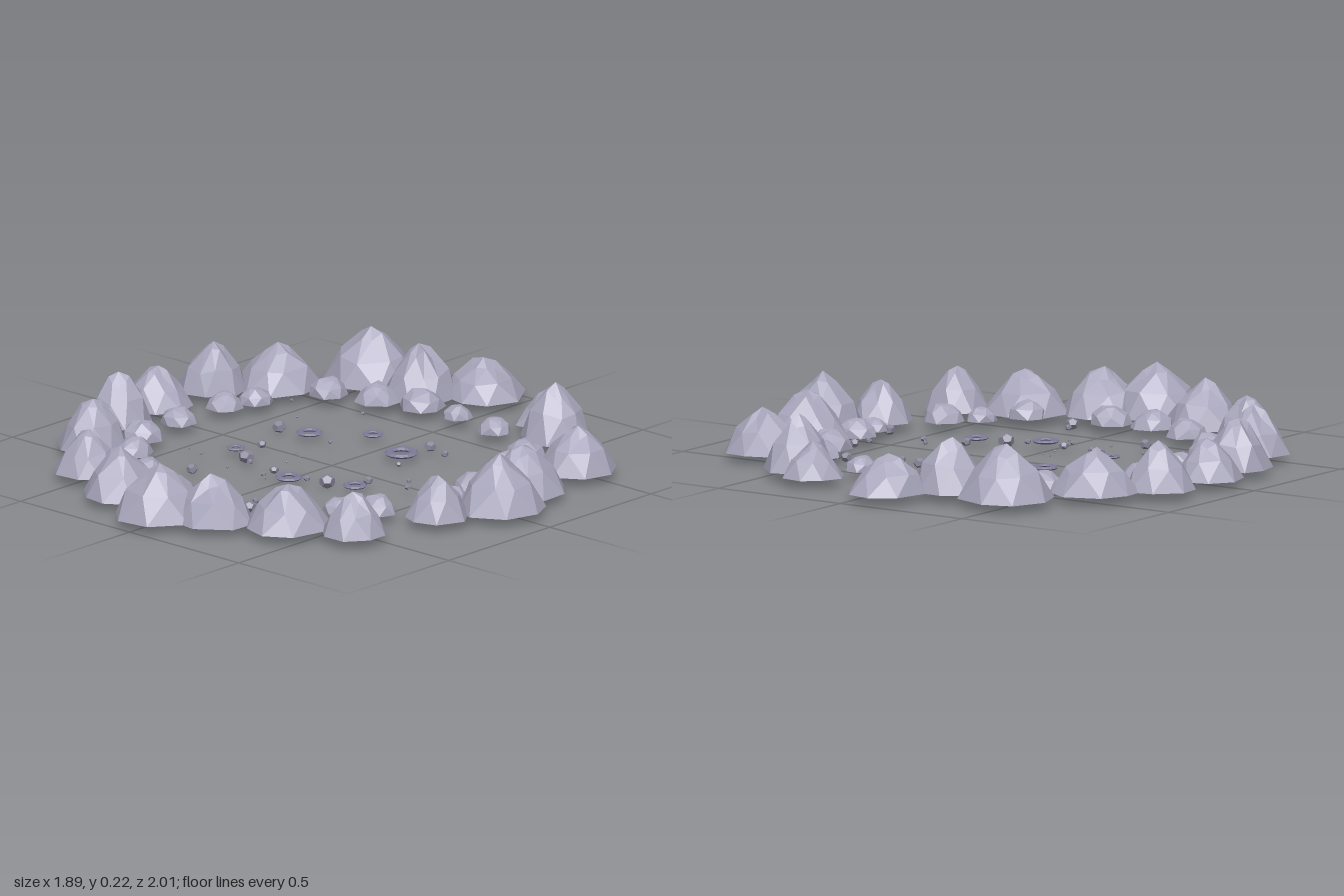
import * as THREE from 'three';

// small seeded random source
let seed = 7;
const rnd = () => {
  seed = (seed * 16807) % 2147483647;
  return seed / 2147483647;
};
const jitter = (amount) => 1 + (rnd() * 2 - 1) * amount;

const GROUND = 0.035;

// [x, z, radius, height of the peak]
const HILLS = [
  [-0.49, -0.73, 0.16, 0.185], [-0.25, -0.71, 0.13, 0.18], [-0.10, -0.86, 0.14, 0.13],
  [0.275, -0.77, 0.105, 0.12], [0.40, -0.68, 0.12, 0.19], [0.69, -0.47, 0.135, 0.15],
  [0.72, -0.17, 0.145, 0.16], [0.79, 0.02, 0.15, 0.19], [0.70, 0.23, 0.11, 0.14],
  [0.62, 0.56, 0.11, 0.145], [0.40, 0.65, 0.15, 0.145], [0.17, 0.77, 0.145, 0.16],
  [0.00, 0.85, 0.155, 0.18], [-0.25, 0.77, 0.14, 0.165], [-0.50, 0.67, 0.11, 0.145],
  [-0.68, 0.45, 0.125, 0.165], [-0.80, 0.19, 0.115, 0.17], [-0.83, -0.03, 0.12, 0.135],
  [-0.81, -0.29, 0.12, 0.165], [-0.67, -0.46, 0.145, 0.15],
];

// [x, z, radius]
const MOUNDS = [
  [-0.48, -0.50, 0.07], [-0.31, -0.56, 0.075], [-0.15, -0.61, 0.078], [0.01, -0.61, 0.052],
  [0.21, -0.58, 0.058], [0.47, -0.45, 0.068], [0.53, -0.31, 0.078], [0.60, -0.06, 0.073],
  [0.61, 0.06, 0.053], [0.52, 0.34, 0.07], [0.42, 0.42, 0.055], [0.33, 0.56, 0.072],
  [0.03, 0.62, 0.073], [-0.13, 0.64, 0.073], [-0.32, 0.57, 0.072], [-0.52, 0.42, 0.068],
  [-0.61, 0.28, 0.075], [-0.64, 0.07, 0.063], [-0.64, -0.16, 0.063], [-0.60, -0.27, 0.062],
];

const CRATERS = [
  [-0.08, -0.29, 0.035], [-0.25, -0.16, 0.045], [0.13, -0.205, 0.058],
  [-0.315, 0.135, 0.032], [0.035, 0.25, 0.046], [0.26, 0.165, 0.041],
];

const ROCKS = [
  [-0.37, -0.14, 0.025], [-0.265, -0.44, 0.008], [-0.13, -0.135, 0.008], [0.15, -0.325, 0.021],
  [0.24, -0.30, 0.014], [0.205, -0.11, 0.011], [0.355, 0, 0.009], [0.415, -0.375, 0.021],
  [0.545, -0.145, 0.019], [0.40, 0.055, 0.011], [0.53, -0.08, 0.011], [0.595, 0.13, 0.021],
  [0.25, 0.09, 0.017], [0.155, 0.19, 0.03], [0.125, 0.51, 0.012], [0.155, 0.575, 0.024],
  [-0.27, 0.40, 0.021], [-0.23, 0.175, 0.027], [-0.285, 0.04, 0.017], [-0.18, 0.21, 0.011],
  [-0.06, 0.22, 0.016], [-0.055, 0.28, 0.009], [0.085, 0.215, 0.011], [-0.36, 0.255, 0.007],
  [-0.43, 0.24, 0.004], [-0.55, 0.575, 0.01], [-0.54, -0.385, 0.006], [0.15, -0.66, 0.005],
  [-0.40, -0.26, 0.004], [-0.13, 0.04, 0.004], [-0.09, 0.055, 0.004], [-0.09, 0.125, 0.004],
  [-0.195, 0.305, 0.005], [-0.02, 0.31, 0.005], [-0.08, 0.20, 0.005], [0.62, 0.14, 0.006],
  [-0.46, 0.53, 0.004], [-0.03, 0.715, 0.009],
];

// open faceted dome: staggered jittered rings of [radius, height], closed by a peak
function domeGeometry(profile, sides, radius, height) {
  const pos = [];
  const idx = [];
  const turn = rnd() * Math.PI;
  profile.forEach(([r, y], k) => {
    for (let i = 0; i < sides; i++) {
      const a = turn + ((i + k / 2) / sides) * Math.PI * 2 + (rnd() - 0.5) * 0.25;
      const rr = r * radius * jitter(0.07);
      pos.push(Math.cos(a) * rr, k ? y * height * jitter(0.12) : 0, Math.sin(a) * rr);
    }
  });
  pos.push((rnd() - 0.5) * 0.1 * radius, height, (rnd() - 0.5) * 0.1 * radius);
  const peak = profile.length * sides;
  for (let k = 0; k < profile.length; k++) {
    for (let i = 0; i < sides; i++) {
      const a = k * sides + i;
      const b = k * sides + ((i + 1) % sides);
      if (k === profile.length - 1) idx.push(a, peak, b);
      else idx.push(a, a + sides, b, b, a + sides, b + sides);
    }
  }
  const indexed = new THREE.BufferGeometry();
  indexed.setAttribute('position', new THREE.Float32BufferAttribute(pos, 3));
  indexed.setIndex(idx);
  const geo = indexed.toNonIndexed();
  geo.computeVertexNormals();
  return geo;
}

export function createModel() {
  seed = 7;
  const model = new THREE.Group();
  model.name = 'craterField';

  const stone = new THREE.MeshStandardMaterial({ color: 0xa9a6bc, flatShading: true, side: THREE.DoubleSide });
  stone.name = 'paleStone';
  const rim = new THREE.MeshStandardMaterial({ color: 0x7f7a98, flatShading: true });
  rim.name = 'rimStone';
  const rubble = new THREE.MeshStandardMaterial({ color: 0x8a879b, flatShading: true });
  rubble.name = 'darkRubble';

  const section = (name) => {
    const g = new THREE.Group();
    g.name = name;
    model.add(g);
    return g;
  };
  const add = (parent, name, geo, mat, x, y, z) => {
    const mesh = new THREE.Mesh(geo, mat);
    mesh.name = name;
    mesh.position.set(x, y, z);
    parent.add(mesh);
    return mesh;
  };

  // outer ring of pointed hills
  const hills = section('hillRing');
  for (const [x, z, r, h] of HILLS) {
    add(hills, 'hill', domeGeometry([[1, 0], [0.7, 0.48], [0.3, 0.83]], 8, r, h), stone, x, GROUND, z);
  }

  // inner ring of low rounded mounds
  const mounds = section('moundRing');
  for (const [x, z, r] of MOUNDS) {
    add(mounds, 'mound', domeGeometry([[1, 0], [0.82, 0.5], [0.42, 0.88]], 7, r, r * 0.85), stone, x, GROUND, z);
  }

  // flattened crater rims
  const craters = section('craterRims');
  for (const [x, z, r] of CRATERS) {
    const geo = new THREE.TorusGeometry(r * 0.73, r * 0.27, 6, 16);
    geo.rotateX(Math.PI / 2);
    geo.scale(1, 0.5, 1);
    add(craters, 'craterRim', geo, rim, x, 0.03, z);
  }

  // scattered loose rocks
  const rocks = section('looseRocks');
  for (const [x, z, r] of ROCKS) {
    const mesh = add(rocks, 'rock', new THREE.DodecahedronGeometry(r, 0), rubble, x, 0.028, z);
    mesh.scale.set(jitter(0.08), 0.85, jitter(0.08));
    mesh.rotation.y = rnd() * Math.PI;
  }

  return model;
}
